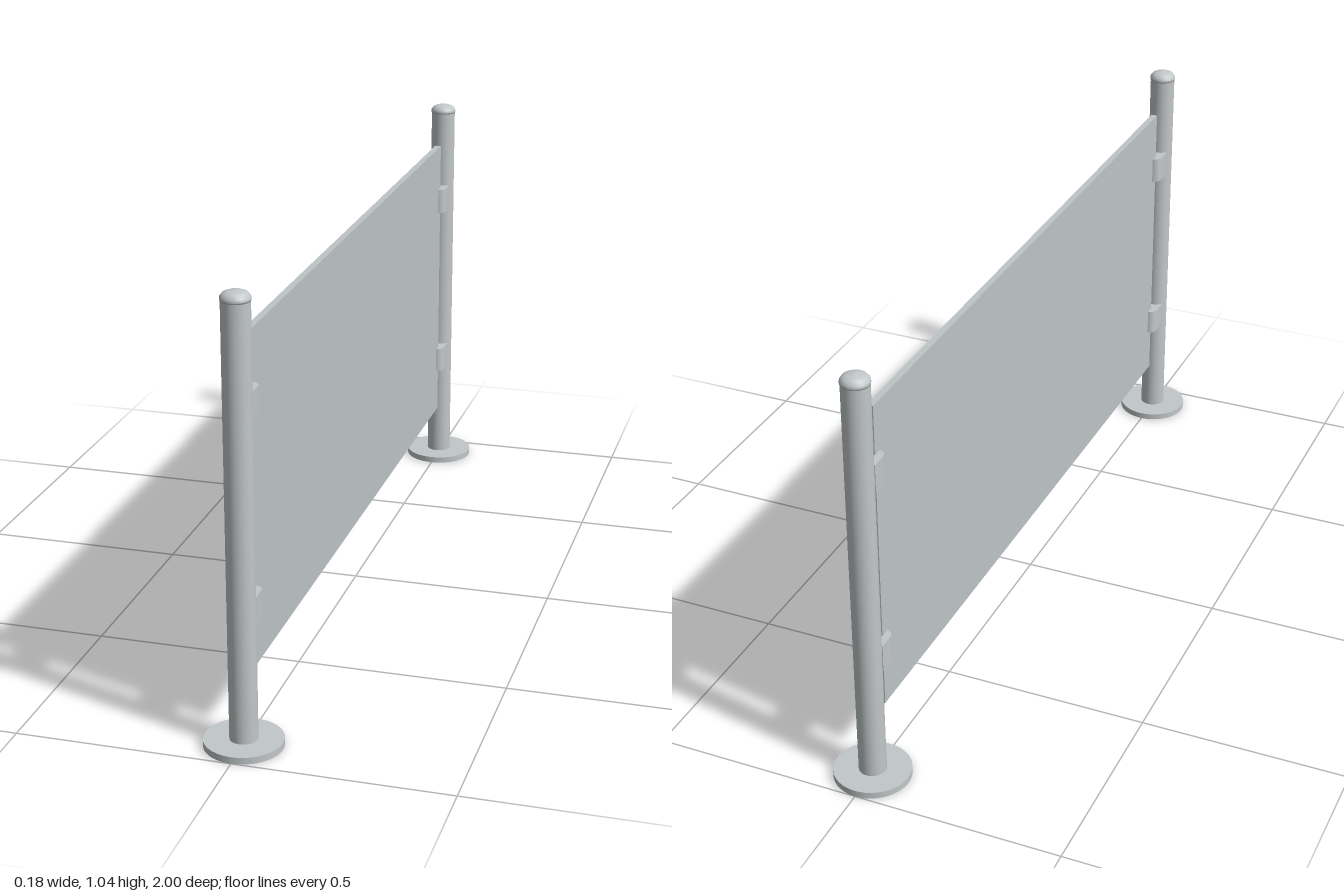
import * as THREE from 'three';

const steel = new THREE.MeshStandardMaterial({ color: 0xc2c7c9 });
steel.name = 'brushed steel';
const glass = new THREE.MeshStandardMaterial({ color: 0xbec5c7 });
glass.name = 'panel grey';

function part(parent, name, geometry, material, x = 0, y = 0, z = 0) {
  const mesh = new THREE.Mesh(geometry, material);
  mesh.name = name;
  mesh.position.set(x, y, z);
  parent.add(mesh);
  return mesh;
}

// Clamp outline seen from above: rounded jaws around a slot, back against the post
function clampGeometry(height) {
  const w = 0.026, slot = 0.008, back = 0.03, slotEnd = -0.006, tip = -0.03;
  const s = new THREE.Shape();
  s.moveTo(-w, back);
  s.lineTo(-w, -0.004);
  s.quadraticCurveTo(-w, tip + 0.004, -slot, tip);
  s.lineTo(-slot, slotEnd);
  s.lineTo(slot, slotEnd);
  s.lineTo(slot, tip);
  s.quadraticCurveTo(w, tip + 0.004, w, -0.004);
  s.lineTo(w, back);
  s.closePath();
  const g = new THREE.ExtrudeGeometry(s, { depth: height, bevelEnabled: false, curveSegments: 10 });
  g.rotateX(Math.PI / 2);
  g.translate(0, height / 2, 0);
  return g;
}

// One post with base flange, domed cap and two clamps; its clamps point to -z
function createPost() {
  const post = new THREE.Group();
  post.name = 'post';
  part(post, 'baseFlange', new THREE.CylinderGeometry(0.09, 0.09, 0.016, 48), steel, 0, 0.008);
  part(post, 'tube', new THREE.CylinderGeometry(0.032, 0.032, 1.01, 40), steel, 0, 0.52);

  // Domed cap with a narrow lip
  const profile = [[0, 1.018], [0.0325, 1.018], [0.0335, 1.022], [0.0325, 1.028],
    [0.027, 1.035], [0.017, 1.039], [0, 1.041]].map(([r, y]) => new THREE.Vector2(r, y));
  part(post, 'cap', new THREE.LatheGeometry(profile, 40), steel);

  const clamp = clampGeometry(0.066);
  // shape back (+y) becomes +z, toward the post
  for (const y of [0.313, 0.782]) {
    part(post, 'clamp', clamp, steel, 0, y, -0.052);
  }
  return post;
}

export function createModel() {
  const model = new THREE.Group();
  model.name = 'panelBarrier';

  const front = createPost();
  front.name = 'frontPost';
  front.position.z = 0.91;
  const rear = createPost();
  rear.name = 'rearPost';
  rear.position.z = -0.91;
  rear.rotation.y = Math.PI;
  model.add(front, rear);

  // Thin infill panel held in the clamp slots
  part(model, 'panel', new THREE.BoxGeometry(0.016, 0.776, 1.704), glass, 0, 0.547, 0);
  return model;
}
